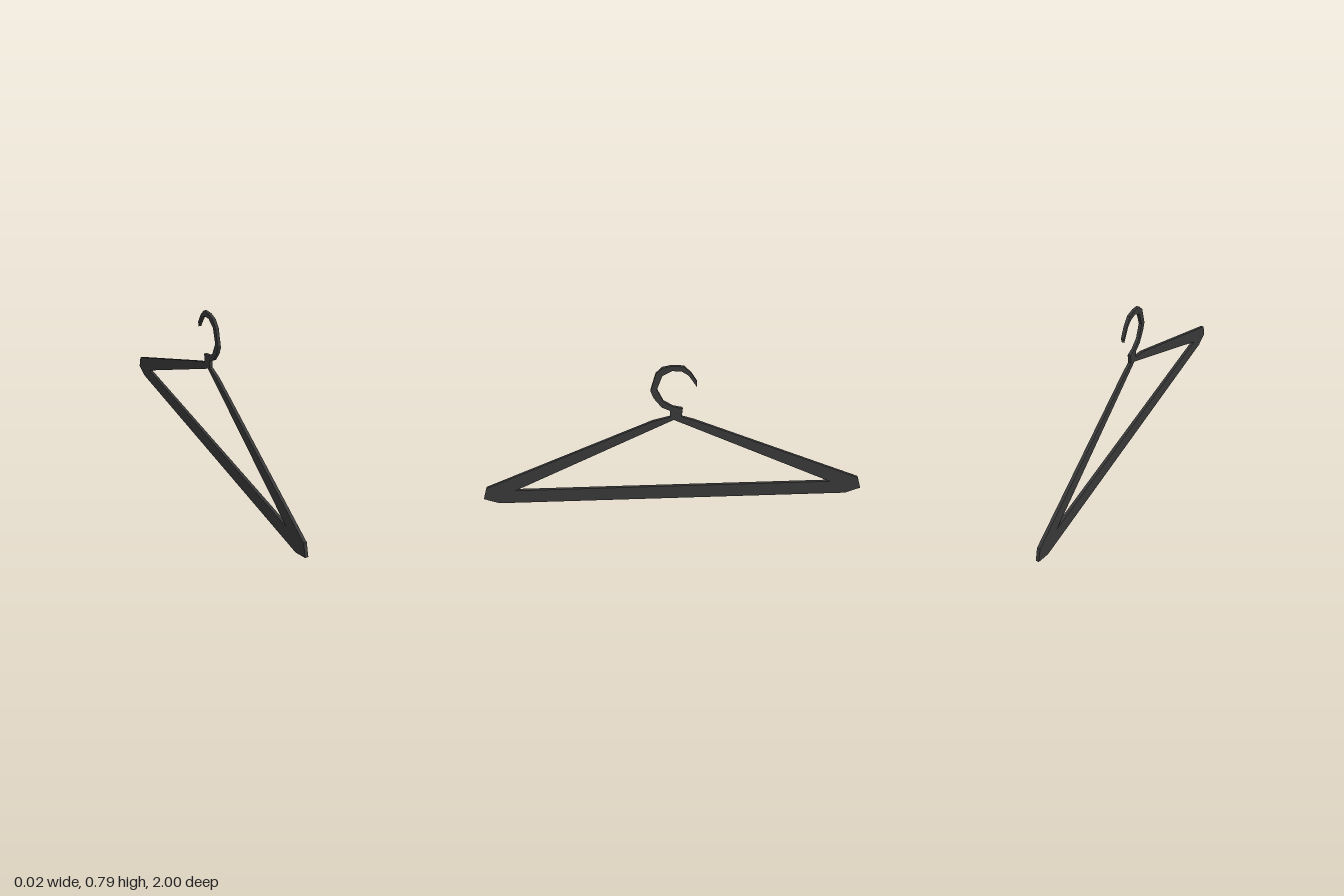
import * as THREE from 'three';

const THICKNESS = 0.016;
const toPoints = (list) => list.map(([u, y]) => new THREE.Vector2(u, y));

export function createModel() {
  const group = new THREE.Group();
  group.name = 'coatHanger';
  const darkPlastic = new THREE.MeshStandardMaterial({ color: 0x383838 });
  darkPlastic.name = 'dark plastic';

  // Flat plate cut from a side profile: u runs toward the back (-z)
  function plate(name, shape) {
    const geometry = new THREE.ExtrudeGeometry(shape, { depth: THICKNESS, bevelEnabled: false });
    geometry.translate(0, 0, -THICKNESS / 2);
    geometry.rotateY(Math.PI / 2);
    const mesh = new THREE.Mesh(geometry, darkPlastic);
    mesh.name = name;
    group.add(mesh);
  }

  // Triangular frame: sloping shoulders, chamfered ends and a lower bar
  const frame = new THREE.Shape(toPoints([
    [-0.92, 0], [0.92, 0], [1, 0.03], [0.98, 0.097], [0.104, 0.481], [0.04, 0.503],
    [-0.019, 0.503], [-0.104, 0.481], [-0.98, 0.097], [-1, 0.03],
  ]));
  frame.holes.push(new THREE.Path(toPoints([[-0.83, 0.078], [0, 0.487], [0.83, 0.078]])));
  plate('frame', frame);

  // Neck and faceted hook, outer edge first, then back along the inner edge
  plate('hook', new THREE.Shape(toPoints([
    [-0.019, 0.503], [-0.019, 0.54], [-0.06, 0.561], [-0.1, 0.615], [-0.115, 0.655],
    [-0.088, 0.749], [-0.056, 0.781], [-0.008, 0.791], [0.05, 0.786], [0.088, 0.747],
    [0.115, 0.7], [0.113, 0.674], [0.1, 0.695], [0.072, 0.738], [0.04, 0.76],
    [-0.008, 0.765], [-0.056, 0.738], [-0.083, 0.663], [-0.051, 0.594], [-0.003, 0.563],
    [0.045, 0.552], [0.04, 0.503],
  ])));

  return group;
}
